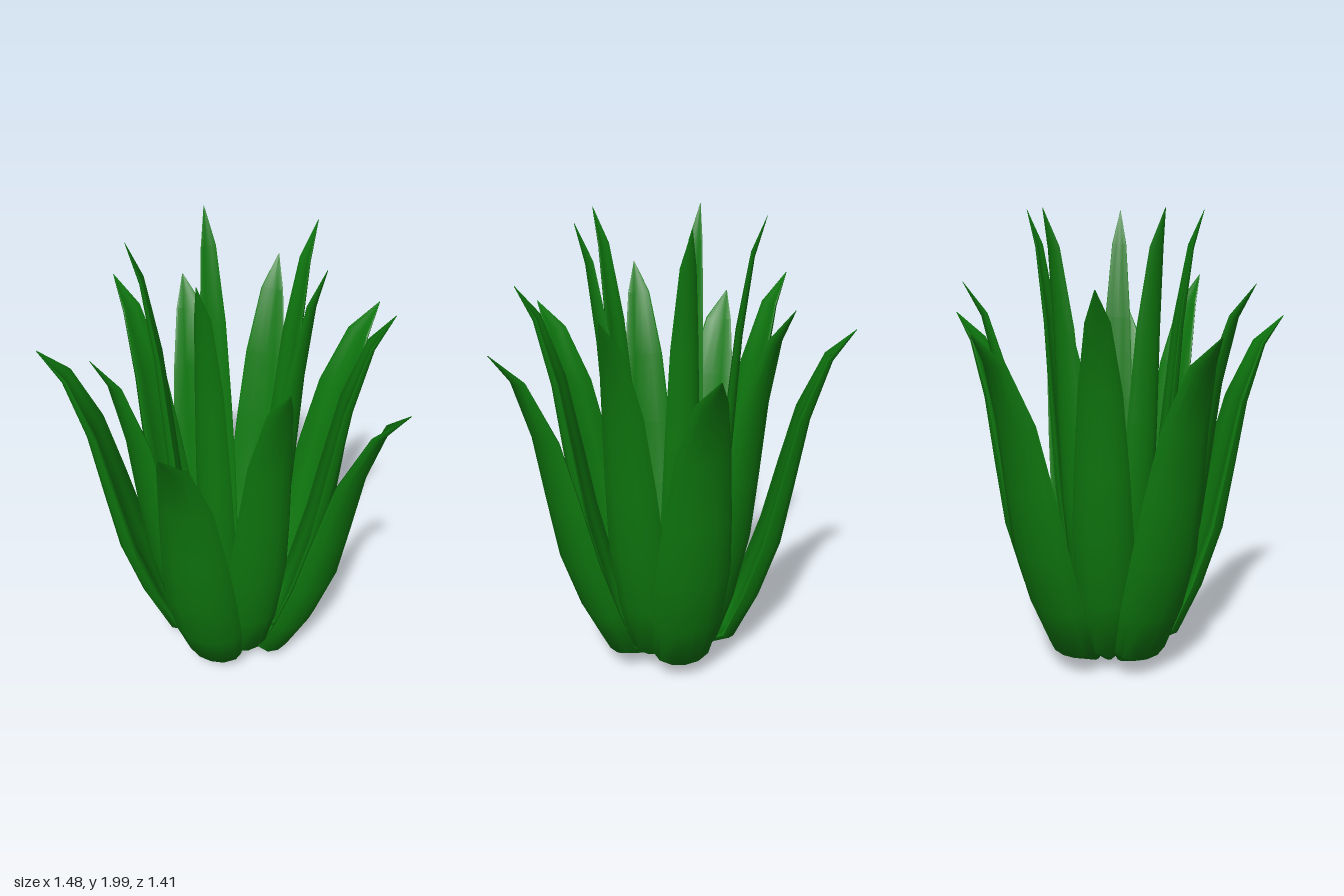
import * as THREE from 'three';
import { toCreasedNormals } from 'three/addons/utils/BufferGeometryUtils.js';

// Leaf stations along the back of the leaf: [radius, height, half width, rim depth]
const STATIONS = [
  [0.12, 0.01, 0.035, 0.03],
  [0.31, 0.10, 0.13, 0.075],
  [0.42, 0.33, 0.155, 0.09],
  [0.51, 0.60, 0.16, 0.09],
  [0.56, 0.88, 0.14, 0.075],
  [0.61, 1.17, 0.11, 0.055],
  [0.69, 1.42, 0.062, 0.03],
  [0.78, 1.545, 0.002, 0.002],
];

// Cross-section: [width factor, depth factor], convex back first, then the hollow inside
const SECTION = [
  [-1, 0.95], [-0.85, 0.48], [-0.45, 0.1], [0, 0], [0.45, 0.1], [0.85, 0.48], [1, 0.95],
  [0.9, 1.05], [0.45, 0.78], [0, 0.68], [-0.45, 0.78], [-0.9, 1.05],
];

// One leaf growing outward along +z, skinned over its cross-sections
function leafGeometry() {
  const positions = [];
  const index = [];
  const n = SECTION.length;
  const last = STATIONS.length - 1;
  STATIONS.forEach(([r, y, halfWidth, depth], i) => {
    const before = STATIONS[Math.max(i - 1, 0)];
    const after = STATIONS[Math.min(i + 1, last)];
    const inward = new THREE.Vector2(before[1] - after[1], after[0] - before[0]).normalize();
    for (const [w, d] of SECTION) {
      positions.push(w * halfWidth, y + inward.y * d * depth, r + inward.x * d * depth);
    }
    if (i === last) return;
    for (let j = 0; j < n; j++) {
      const a = i * n + j;
      const b = i * n + (j + 1) % n;
      index.push(a, b, b + n, a, b + n, a + n);
    }
  });
  // Base cap
  for (let j = 1; j < n - 1; j++) index.push(0, j + 1, j);
  const geometry = new THREE.BufferGeometry();
  geometry.setAttribute('position', new THREE.Float32BufferAttribute(positions, 3));
  geometry.setIndex(index);
  return toCreasedNormals(geometry, THREE.MathUtils.degToRad(50));
}

export function createModel() {
  const model = new THREE.Group();
  model.name = 'succulentPlant';
  const material = new THREE.MeshStandardMaterial({ color: 0x0f7a0f });
  const leaf = leafGeometry();

  // Three rings of five leaves: the inner ones are taller, slimmer and steeper
  const rings = [
    { name: 'outerLeaves', spread: 1, height: 1, turn: Math.PI },
    { name: 'middleLeaves', spread: 0.8, height: 1.105, turn: 0 },
    { name: 'innerLeaves', spread: 0.515, height: 1.293, turn: Math.PI },
  ];
  for (const { name, spread, height, turn } of rings) {
    const ring = new THREE.Group();
    ring.name = name;
    ring.scale.set(spread, height, spread);
    ring.position.set(-0.027, 0, 0.056);
    for (let k = 0; k < 5; k++) {
      const mesh = new THREE.Mesh(leaf, material);
      mesh.name = 'leaf';
      mesh.rotation.y = turn + (k * Math.PI * 2) / 5;
      ring.add(mesh);
    }
    model.add(ring);
  }
  return model;
}
